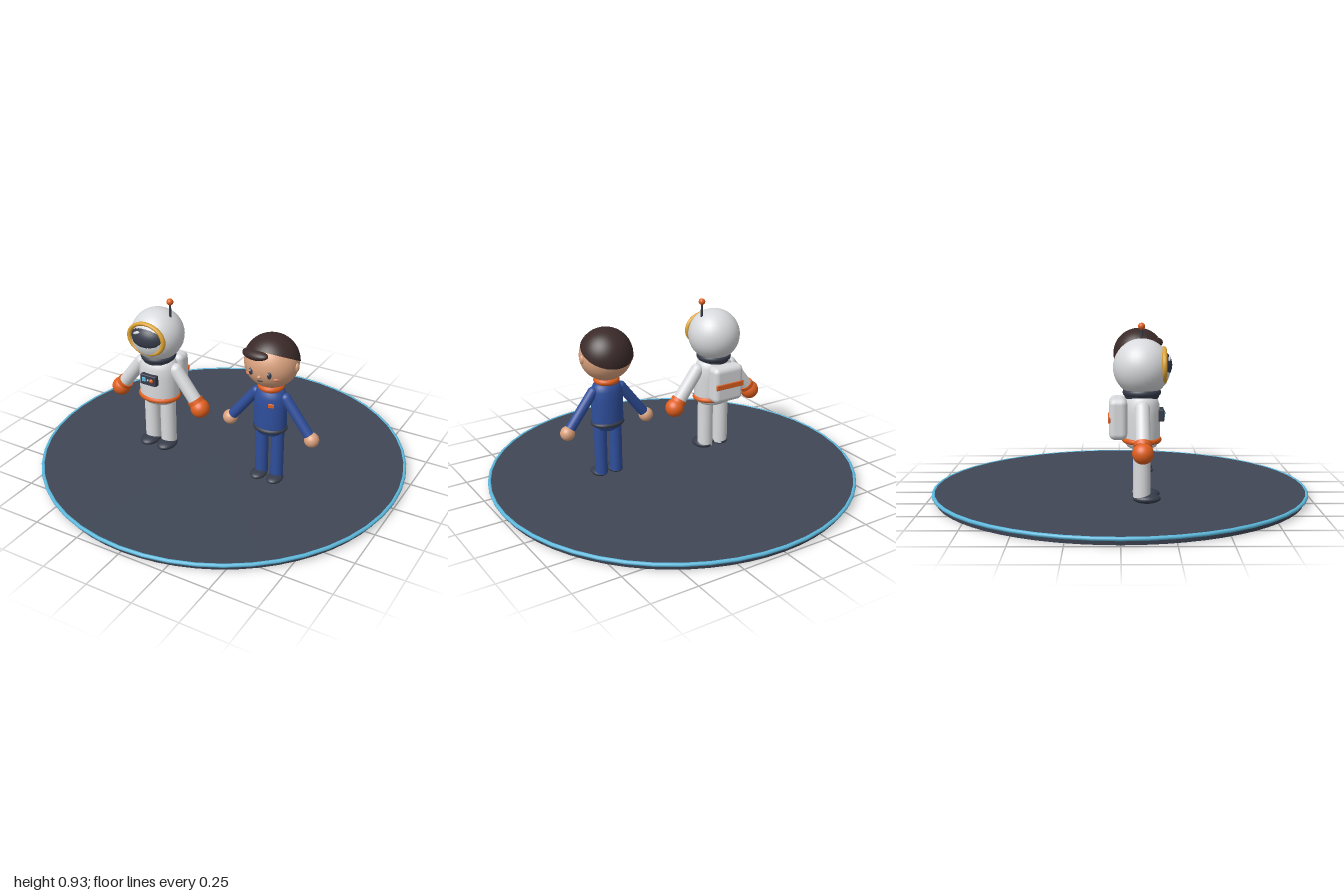
import * as THREE from 'three';
import { RoundedBoxGeometry } from 'three/addons/geometries/RoundedBoxGeometry.js';

const mat = (name, color) => {
  const m = new THREE.MeshStandardMaterial({ color });
  m.name = name;
  return m;
};

export function createModel() {
  const white = mat('suit white', 0xd9dadd);
  const dark = mat('charcoal', 0x363c4a);
  const deck = mat('deck grey', 0x404756);
  const cyan = mat('trim cyan', 0x5cb8dc);
  const orange = mat('orange', 0xe0601f);
  const gold = mat('gold', 0xdca336);
  const blue = mat('overall blue', 0x2f4f9c);
  const skin = mat('skin', 0xdba27e);
  const hair = mat('hair brown', 0x3a2a29);
  const blush = mat('blush', 0xd9805f);
  hair.side = THREE.DoubleSide;

  const root = new THREE.Group();
  root.name = 'twoFiguresOnDisc';

  // Helpers
  const add = (parent, name, geo, material, x = 0, y = 0, z = 0) => {
    const m = new THREE.Mesh(geo, material);
    m.name = name;
    m.position.set(x, y, z);
    parent.add(m);
    return m;
  };
  const ball = (parent, name, material, p, s) => {
    const m = add(parent, name, new THREE.SphereGeometry(1, 32, 20), material, ...p);
    m.scale.set(...s);
    return m;
  };
  const ring = (parent, name, material, y, radius, tube, depth = 1) => {
    const m = add(parent, name, new THREE.TorusGeometry(radius, tube, 12, 48), material, 0, y, 0);
    m.rotation.x = Math.PI / 2;
    m.scale.y = depth;
    return m;
  };
  const box = (parent, name, material, p, s, r = 0.006) =>
    add(parent, name, new RoundedBoxGeometry(...s, 3, r), material, ...p);
  const torso = (parent, material, w) => {
    const profile = [[0, 0.303], [0.5, 0.308], [0.8, 0.322], [0.96, 0.345], [1, 0.37], [1, 0.49],
      [0.96, 0.535], [0.85, 0.565], [0.6, 0.585], [0, 0.592]];
    const pts = profile.map(([r, y]) => new THREE.Vector2(r * w, y));
    add(parent, 'torso', new THREE.LatheGeometry(pts, 40), material).scale.z = 0.8;
  };

  // Arms, hands, legs and shoes, mirrored left and right
  const limbs = (parent, o) => {
    for (const side of [1, -1]) {
      const tag = side > 0 ? 'left' : 'right';
      const a = new THREE.Vector3(side * o.shoulder[0], o.shoulder[1], 0);
      const b = new THREE.Vector3(side * o.hand[0], o.hand[1], 0);
      const dir = b.clone().sub(a);
      const mid = a.clone().add(b).multiplyScalar(0.5);
      const turn = new THREE.Quaternion().setFromUnitVectors(
        new THREE.Vector3(0, 1, 0), dir.clone().normalize());
      add(parent, tag + 'Arm', new THREE.CapsuleGeometry(o.armR, dir.length(), 8, 24),
        o.suit, mid.x, mid.y, 0).quaternion.copy(turn);
      ball(parent, tag + 'Hand', o.handMat, [b.x, b.y, 0], [o.handR, o.handR, o.handR]);
      if (o.cuff) {
        const c = a.clone().lerp(b, 0.82);
        add(parent, tag + 'Cuff', new THREE.CylinderGeometry(o.cuff, o.cuff, 0.022, 24),
          o.handMat, c.x, c.y, 0).quaternion.copy(turn);
      }
      add(parent, tag + 'Leg', new THREE.CylinderGeometry(o.legR, o.legR, 0.29, 24),
        o.suit, side * o.legX, 0.205, 0);
      ball(parent, tag + 'Shoe', dark, [side * o.legX * 1.06, 0.04 + o.shoe[1], 0.025], o.shoe);
    }
  };

  // Round platform with a bright rim
  add(root, 'platform', new THREE.CylinderGeometry(0.987, 0.98, 0.038, 64), deck, 0, 0.019, 0);
  ring(root, 'platformRim', cyan, 0.031, 0.99, 0.01);

  // Suited figure
  const suit = new THREE.Group();
  suit.name = 'spaceSuitFigure';
  suit.position.set(-0.343, 0, 0.107);
  root.add(suit);
  torso(suit, white, 0.113);
  limbs(suit, { suit: white, handMat: orange, shoulder: [0.11, 0.525], hand: [0.257, 0.332],
    armR: 0.037, handR: 0.052, cuff: 0.044, legX: 0.051, legR: 0.043, shoe: [0.052, 0.025, 0.07] });
  ring(suit, 'belt', orange, 0.355, 0.107, 0.014, 0.82);
  ring(suit, 'neckRing', dark, 0.592, 0.076, 0.02);
  ring(suit, 'lowerNeckRing', dark, 0.574, 0.07, 0.016);

  // Helmet, visor and aerial
  ball(suit, 'helmet', white, [0, 0.715, 0], [0.143, 0.143, 0.143]);
  ball(suit, 'visor', dark, [0, 0.727, 0.07], [0.105, 0.08, 0.08]);
  const visorRing = add(suit, 'visorRing', new THREE.TorusGeometry(0.105, 0.013, 12, 48), gold, 0, 0.725, 0.108);
  visorRing.scale.y = 0.8;
  ball(suit, 'visorGlint', white, [-0.042, 0.762, 0.134], [0.024, 0.008, 0.006]).rotation.set(-0.4, -0.3, 0.3);
  add(suit, 'aerial', new THREE.CylinderGeometry(0.006, 0.006, 0.11, 12), dark, 0.083, 0.855, 0);
  ball(suit, 'aerialTip', orange, [0.083, 0.912, 0], [0.018, 0.018, 0.018]);

  // Chest panel
  box(suit, 'chestPanel', dark, [0, 0.481, 0.095], [0.1, 0.06, 0.03]);
  box(suit, 'panelScreen', cyan, [-0.024, 0.484, 0.11], [0.024, 0.024, 0.008], 0.002);
  ball(suit, 'panelButton', orange, [0.022, 0.483, 0.11], [0.012, 0.012, 0.009]);
  ball(suit, 'panelLamp', white, [0, 0.483, 0.11], [0.006, 0.006, 0.005]);

  // Backpack
  box(suit, 'backpack', white, [0, 0.465, -0.117], [0.19, 0.205, 0.09], 0.03);
  box(suit, 'backpackStripe', orange, [0, 0.462, -0.162], [0.18, 0.03, 0.012], 0.004);

  // Figure in overalls
  const boy = new THREE.Group();
  boy.name = 'overallsFigure';
  boy.position.set(0.337, 0, 0.107);
  root.add(boy);
  torso(boy, blue, 0.088);
  limbs(boy, { suit: blue, handMat: skin, shoulder: [0.083, 0.535], hand: [0.236, 0.336],
    armR: 0.027, handR: 0.039, legX: 0.045, legR: 0.034, shoe: [0.042, 0.02, 0.057] });
  ring(boy, 'belt', dark, 0.351, 0.081, 0.012, 0.82);
  ring(boy, 'collar', orange, 0.588, 0.051, 0.018);
  box(boy, 'chestBadge', orange, [0.035, 0.506, 0.064], [0.03, 0.022, 0.01], 0.003).rotation.y = 0.3;

  // Head and face
  ball(boy, 'head', skin, [0, 0.725, 0], [0.14, 0.135, 0.135]);
  for (const s of [1, -1]) {
    ball(boy, 'ear', skin, [s * 0.137, 0.722, 0], [0.013, 0.024, 0.016]);
    ball(boy, 'eye', dark, [s * 0.05, 0.709, 0.124], [0.012, 0.019, 0.008]);
    ball(boy, 'eyeGlint', white, [s * 0.05 - 0.003, 0.716, 0.131], [0.004, 0.004, 0.003]);
    ball(boy, 'cheek', blush, [s * 0.08, 0.683, 0.103], [0.015, 0.009, 0.006]).rotation.y = s * 0.65;
  }
  ball(boy, 'nose', skin, [0, 0.692, 0.133], [0.01, 0.009, 0.01]);
  box(boy, 'mouth', dark, [0, 0.667, 0.122], [0.024, 0.008, 0.01], 0.003);

  // Hair cap tilted back, with a swept fringe
  const cap = add(boy, 'hair', new THREE.SphereGeometry(0.143, 40, 20, 0, Math.PI * 2, 0, 1.35),
    hair, 0, 0.725, 0);
  cap.rotation.x = -0.49;
  ball(boy, 'fringe', hair, [-0.045, 0.79, 0.09], [0.082, 0.026, 0.042]).rotation.set(0.2, -0.25, 0.14);

  return root;
}
